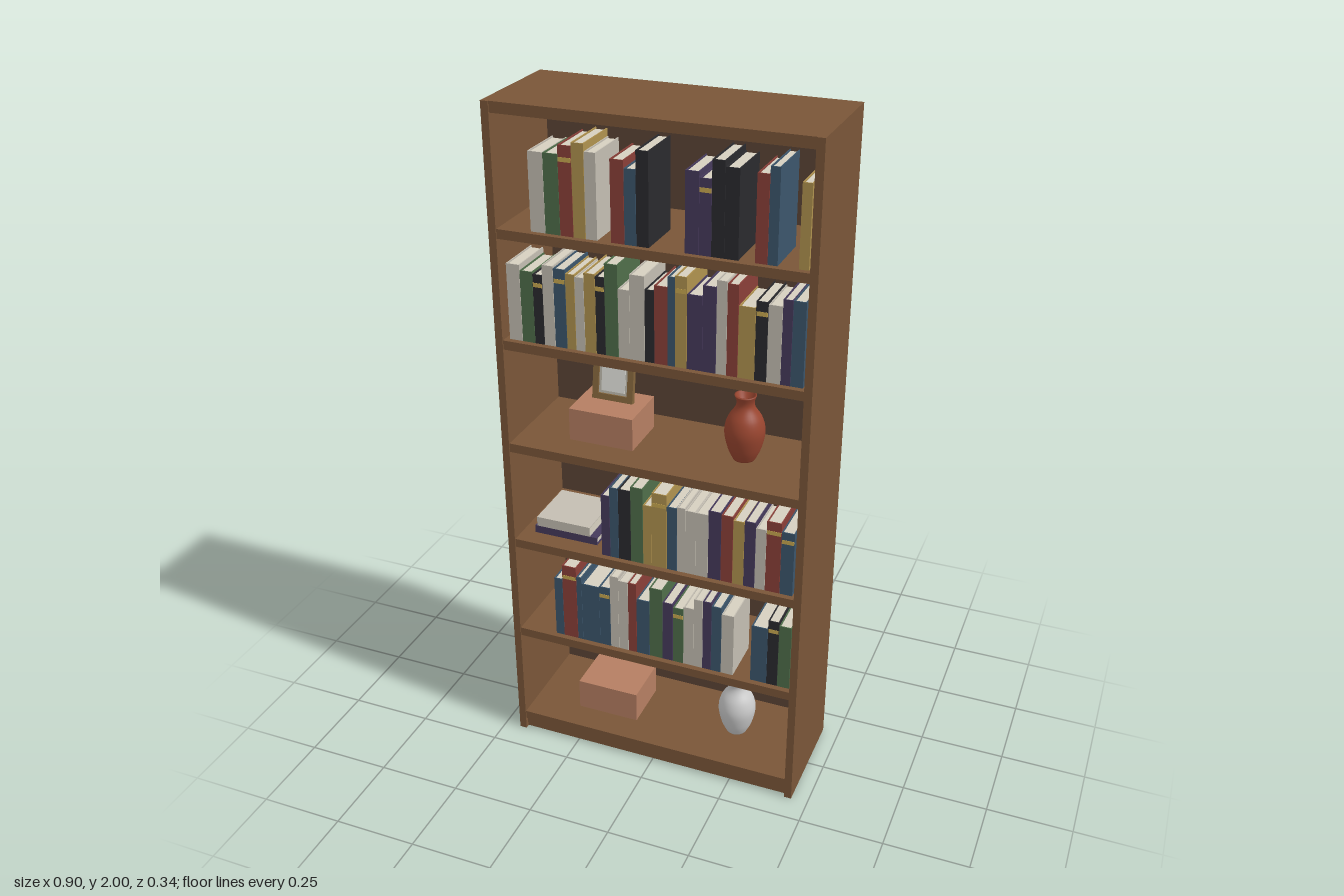
import * as THREE from 'three';

const mat = (color, side = THREE.FrontSide) => new THREE.MeshStandardMaterial({ color, side });
const WOOD = mat(0x7a5638), BACK = mat(0x5c4436), PAGES = mat(0xd6d0c0), GOLD = mat(0xc9a850);
const CLAY = mat(0xb57e62);
const COVERS = {
  w: mat(0xc4beb2), g: mat(0x4f6e4a), r: mat(0x8a3f38), y: mat(0xb0924e),
  b: mat(0x3c566c), k: mat(0x2a2a2e), p: mat(0x463a5c),
};
const SHELF_TOPS = [0.065, 0.387, 0.706, 1.025, 1.344, 1.663];

// Box given by its minimum and maximum corners
function box(parent, name, material, [x0, y0, z0], [x1, y1, z1]) {
  const m = new THREE.Mesh(new THREE.BoxGeometry(x1 - x0, y1 - y0, z1 - z0), material);
  m.position.set((x0 + x1) / 2, (y0 + y1) / 2, (z0 + z1) / 2);
  m.name = name;
  parent.add(m);
  return m;
}

// Upright book: spine facing +z, two cover boards and an inset page block
function book(w, h, d, cover, band) {
  const g = new THREE.Group();
  const t = 0.003;
  g.name = 'book';
  box(g, 'spine', cover, [0, 0, -t], [w, h, 0]);
  box(g, 'coverBoard', cover, [0, 0, -d], [t, h, -t]);
  box(g, 'coverBoard', cover, [w - t, 0, -d], [w, h, -t]);
  box(g, 'pages', PAGES, [t, 0.003, 0.004 - d], [w - t, h - 0.004, -t]);
  if (band) box(g, 'spineBand', GOLD, [0.001, h * 0.82, -0.001], [w - 0.001, h * 0.82 + 0.012, 0.001]);
  return g;
}

// Row of books: a letter gives the colour, a capital adds a gold band, _ is a gap.
// Widths and heights are in hundredths.
function bookRow(parent, shelf, startX, colours, widths, heights) {
  const row = new THREE.Group();
  row.name = 'bookRow';
  let x = startX, n = 0;
  [...colours].forEach((c, i) => {
    const w = widths[i] / 100;
    if (c !== '_') {
      const h = heights[n++] / 100;
      const b = book(w, h, 0.115 + h * 0.14, COVERS[c.toLowerCase()], c !== c.toLowerCase());
      b.position.set(x, SHELF_TOPS[shelf], 0.15);
      row.add(b);
    }
    x += w + 0.0007;
  });
  parent.add(row);
}

function vase(parent, shelf, color) {
  const outline = new THREE.SplineCurve([
    [0.031, 0], [0.047, 0.035], [0.057, 0.085], [0.049, 0.125],
    [0.029, 0.157], [0.025, 0.175], [0.031, 0.196],
  ].map(([r, y]) => new THREE.Vector2(r, y))).getPoints(28);
  const points = [new THREE.Vector2(0, 0), ...outline,
    new THREE.Vector2(0.026, 0.196), new THREE.Vector2(0.02, 0.175), new THREE.Vector2(0, 0.15)];
  const m = new THREE.Mesh(new THREE.LatheGeometry(points, 32), mat(color, THREE.DoubleSide));
  m.name = 'vase';
  m.position.set(0.217, SHELF_TOPS[shelf], 0);
  parent.add(m);
}

function storageBox(parent, shelf) {
  const y = SHELF_TOPS[shelf];
  const g = new THREE.Group();
  g.name = 'storageBox';
  box(g, 'boxBody', CLAY, [-0.28, y, -0.08], [-0.086, y + 0.098, 0.08]);
  parent.add(g);
}

// Leaning picture frame with a pale mat and picture
function pictureFrame(parent, x, y, z) {
  const g = new THREE.Group();
  g.name = 'pictureFrame';
  const w = 0.062, h = 0.158, b = 0.018;
  const wood = mat(0x83653c);
  for (const s of [-1, 1]) {
    const inner = s * (w - b), outer = s * w;
    box(g, 'frameSide', wood, [Math.min(inner, outer), 0, -0.008], [Math.max(inner, outer), h, 0.008]);
  }
  box(g, 'frameBottom', wood, [b - w, 0, -0.008], [w - b, b, 0.008]);
  box(g, 'frameTop', wood, [b - w, h - b, -0.008], [w - b, h, 0.008]);
  box(g, 'pictureMat', mat(0xb8b4a8), [b - w, b, -0.006], [w - b, h - b, 0.002]);
  box(g, 'picture', mat(0xdcdcd6), [b - w + 0.008, b + 0.008, 0], [w - b - 0.008, h - b - 0.008, 0.004]);
  g.position.set(x, y, z);
  g.rotation.x = -0.15;
  parent.add(g);
}

// Book lying flat, spine towards the front
function flatBook(parent, x0, x1, y, thick, cover) {
  const b = book(thick, x1 - x0, 0.17, cover, false);
  b.rotation.z = -Math.PI / 2;
  b.position.set(x0, y + thick, 0.11);
  b.name = 'lyingBook';
  parent.add(b);
}

export function createModel() {
  const model = new THREE.Group();
  model.name = 'bookcase';

  // Case
  const frame = new THREE.Group();
  frame.name = 'case';
  model.add(frame);
  box(frame, 'leftSide', WOOD, [0.428, 0, -0.17], [0.45, 2, 0.17]);
  box(frame, 'rightSide', WOOD, [-0.45, 0, -0.17], [-0.428, 2, 0.17]);
  box(frame, 'topBoard', WOOD, [-0.428, 1.97, -0.17], [0.428, 2, 0.167]);
  box(frame, 'backPanel', BACK, [-0.428, 0.06, -0.164], [0.428, 1.97, -0.154]);
  box(frame, 'plinth', WOOD, [-0.428, 0.003, -0.165], [0.428, 0.038, 0.158]);
  SHELF_TOPS.forEach((y, i) => {
    box(frame, 'shelf', WOOD, [-0.428, y - 0.027, i ? -0.154 : -0.166], [0.428, y, 0.167]);
  });

  // Ornaments
  storageBox(model, 0);
  vase(model, 0, 0xc4c4c0);
  storageBox(model, 3);
  pictureFrame(model, -0.183, SHELF_TOPS[3] + 0.1, -0.01);
  vase(model, 3, 0x99452f);

  // Lying stack
  flatBook(model, -0.39, -0.19, SHELF_TOPS[2], 0.024, COVERS.p);
  flatBook(model, -0.383, -0.213, SHELF_TOPS[2] + 0.024, 0.03, COVERS.w);

  // Standing books
  bookRow(model, 1, -0.315, 'bRbbBwwrbgpGwwpbw_bKg',
    [2.6, 4.5, 1.6, 5.6, 3.4, 2.6, 3, 2.6, 4, 4, 3.2, 3.2, 3.2, 2.6, 2.6, 3, 3.7, 5.2, 4.8, 3.2, 3.6],
    [20, 25, 22, 20, 20.5, 25, 24, 24, 19, 24, 20, 19, 20, 23.5, 23.5, 22.5, 20.5, 19, 22, 21]);
  bookRow(model, 2, -0.156, 'pbkgyYbwwwprypwRB',
    [2.6, 2.6, 3.7, 3.7, 2.6, 4.5, 3, 2.4, 3, 3.7, 3.7, 3.4, 3.2, 3.2, 3, 4.2, 3.7],
    [20, 23, 23, 24.5, 19.5, 24, 20.5, 21, 20.5, 20.5, 22, 21.5, 20.5, 21, 19.5, 22.5, 20]);
  bookRow(model, 4, -0.415, 'wgKwBywyKgwwkrbYppwryKwpb',
    [3.9, 3.7, 2.8, 3.2, 3.4, 2.6, 2.6, 3.2, 2.6, 3.7, 3.2, 4.2, 2.6, 3.7, 2, 3.2, 4.2, 3.7, 2.8, 3, 4.5, 3.2, 3.7, 2.6, 3.4],
    [22, 20.5, 20, 23, 22.5, 21.5, 21, 22.5, 22, 26, 19.5, 24, 20.5, 22, 25, 25.5, 21, 24, 26, 25.5, 20, 22, 21.5, 23.5, 23.5]);
  bookRow(model, 5, -0.335, 'wgRyw_rbk_pPkk_rb_y',
    [4.2, 4.2, 3.7, 3.4, 3.2, 3.7, 3.7, 3.2, 3.4, 9.6, 3.7, 3.2, 3.4, 3.7, 4.2, 3.2, 2.6, 5.3, 2.6],
    [21.5, 21.5, 24, 25, 23, 22, 20, 25, 21.5, 20, 25, 23.5, 23, 25, 22]);

  return model;
}
